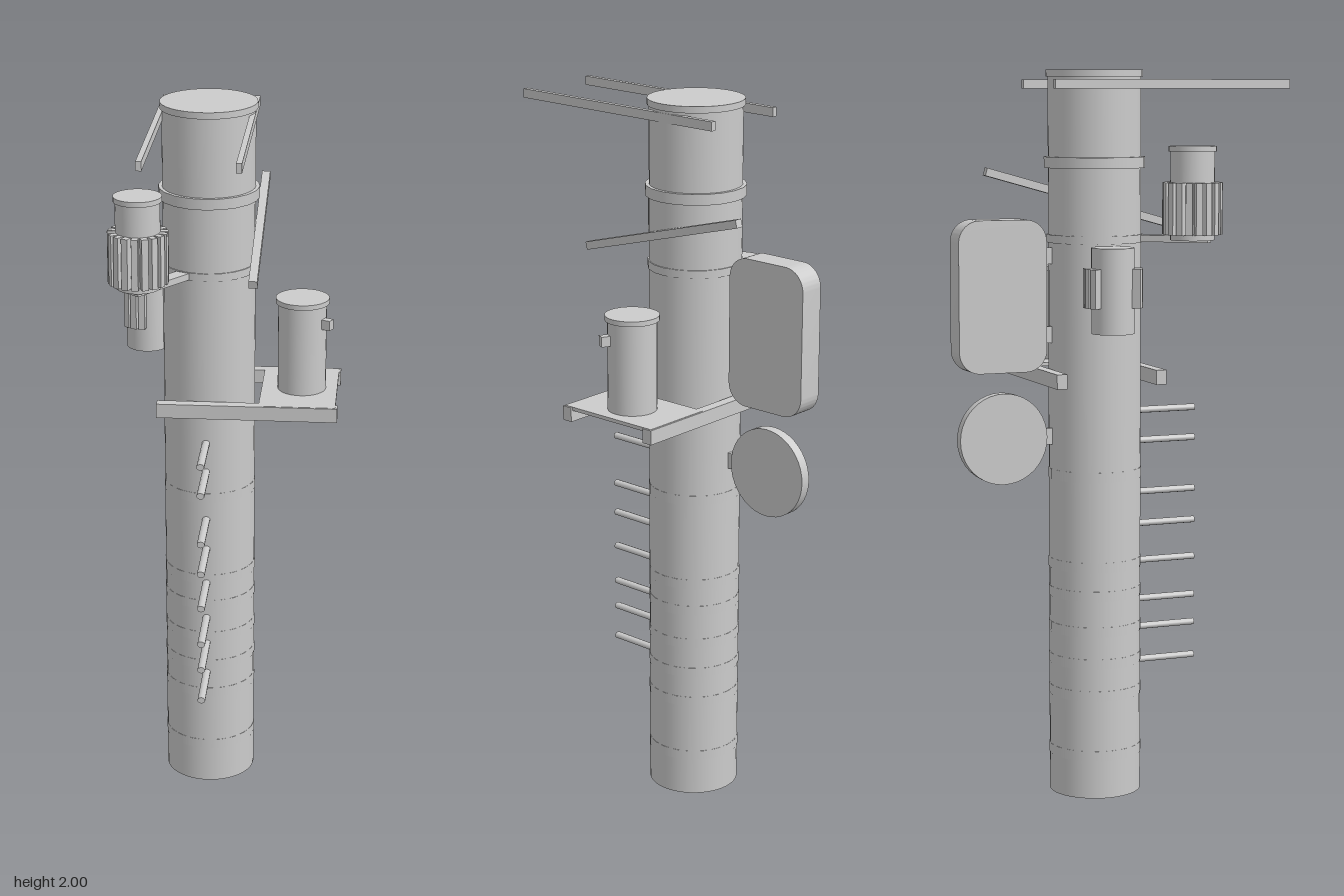
import * as THREE from 'three';
import { toCreasedNormals } from 'three/addons/utils/BufferGeometryUtils.js';

const material = new THREE.MeshStandardMaterial({ color: 0xcccccc });
const POLE_X = -0.057, POLE_Z = -0.06;

function add(parent, name, geometry, x, y, z) {
  const mesh = new THREE.Mesh(geometry, material);
  mesh.name = name;
  mesh.position.set(x, y, z);
  parent.add(mesh);
  return mesh;
}

const box = (parent, name, w, h, d, x, y, z) =>
  add(parent, name, new THREE.BoxGeometry(w, h, d), x, y, z);

// Upright cylinder between two heights
const drum = (parent, name, r, y0, y1, x, z, sides = 32) =>
  add(parent, name, new THREE.CylinderGeometry(r, r, y1 - y0, sides), x, (y0 + y1) / 2, z);

// Radial cooling fins at the given angles (0 = front, turning towards +x)
function fins(parent, angles, r0, r1, width, y0, y1, x, z) {
  for (const a of angles) {
    const r = (r0 + r1) / 2;
    const fin = box(parent, 'coolingFin', width, y1 - y0, r1 - r0,
      x + Math.sin(a) * r, (y0 + y1) / 2, z + Math.cos(a) * r);
    fin.rotation.y = a;
  }
}

function group(parent, name) {
  const g = new THREE.Group();
  g.name = name;
  parent.add(g);
  return g;
}

export function createModel() {
  const model = new THREE.Group();
  model.name = 'utilityPole';

  // Pole with cap, collars and thin bands
  const pole = group(model, 'pole');
  drum(pole, 'shaft', 0.127, 0, 1.99, POLE_X, POLE_Z, 40);
  drum(pole, 'topCap', 0.132, 1.982, 2, POLE_X, POLE_Z, 40);
  drum(pole, 'upperCollar', 0.138, 1.737, 1.767, POLE_X, POLE_Z, 20);
  drum(pole, 'lowerCollar', 0.131, 1.535, 1.557, POLE_X, POLE_Z, 20);
  for (const y of [0.12, 0.29, 0.38, 0.47, 0.57, 0.65, 0.9]) {
    drum(pole, 'band', 0.1285, y - 0.014, y + 0.014, POLE_X, POLE_Z, 20);
  }

  // Climbing pegs up the front
  for (const y of [0.355, 0.45, 0.53, 0.64, 0.745, 0.835, 0.98, 1.065]) {
    const peg = add(model, 'climbingPeg', new THREE.CylinderGeometry(0.011, 0.011, 0.2, 10), POLE_X, y, 0.139);
    peg.rotation.x = Math.PI / 2;
    peg.scale.z = 0.85;
  }

  // Crossarms: a level pair at the top and one tilted arm on the left
  for (const x of [-0.187, 0.063]) box(model, 'topCrossarm', 0.015, 0.025, 0.685, x, 1.962, 0.119);
  const tilted = box(model, 'tiltedCrossarm', 0.023, 0.022, 0.555, 0.081, 1.65, -0.06);
  tilted.rotation.x = 0.272;

  // Platform
  const platform = group(model, 'platform');
  for (const z of [-0.205, 0.084]) box(platform, 'platformRail', 0.495, 0.04, 0.03, 0.057, 1.17, z);
  box(platform, 'platformDeck', 0.21, 0.01, 0.31, 0.194, 1.186, -0.06);

  // Drum transformer standing on the platform
  const deckUnit = group(model, 'platformTransformer');
  drum(deckUnit, 'body', 0.067, 1.185, 1.445, 0.2, POLE_Z);
  drum(deckUnit, 'lid', 0.074, 1.441, 1.455, 0.2, POLE_Z);
  fins(deckUnit, [1.11], 0.06, 0.091, 0.022, 1.376, 1.404, 0.2, POLE_Z);

  // Finned transformer on a diagonal arm
  const finned = group(model, 'finnedTransformer');
  const fx = -0.227, fz = 0.157;
  drum(finned, 'body', 0.06, 1.545, 1.79, fx, fz);
  drum(finned, 'lid', 0.065, 1.783, 1.797, fx, fz);
  const around = Array.from({ length: 18 }, (_, i) => (i / 18) * Math.PI * 2);
  fins(finned, around, 0.052, 0.081, 0.018, 1.56, 1.7, fx, fz);
  const arm = box(finned, 'supportArm', 0.04, 0.018, 0.25, -0.16, 1.546, 0.105);
  arm.rotation.y = Math.atan2(POLE_X - fx, POLE_Z - fz);

  // Small side transformer with two fin clusters
  const side = group(model, 'sideTransformer');
  const sx = -0.23, sz = -0.075;
  drum(side, 'body', 0.058, 1.3, 1.53, sx, sz);
  fins(side, [-0.7, -0.4, -0.1], 0.05, 0.08, 0.018, 1.37, 1.475, sx, sz);
  fins(side, [2.7, 3.0, 3.3, 3.6], 0.05, 0.08, 0.018, 1.37, 1.475, sx, sz);

  // Rounded panel at the back, extruded across x
  const w = 0.125, h = 0.206, r = 0.06;
  const outline = new THREE.Shape();
  outline.absarc(w - r, h - r, r, 0, Math.PI / 2);
  outline.absarc(r - w, h - r, r, Math.PI / 2, Math.PI);
  outline.absarc(r - w, r - h, r, Math.PI, Math.PI * 1.5);
  outline.absarc(w - r, r - h, r, Math.PI * 1.5, Math.PI * 2);
  const panelGeo = new THREE.ExtrudeGeometry(outline, { depth: 0.075, bevelEnabled: false, curveSegments: 8 });
  panelGeo.translate(0, 0, -0.0375).rotateY(Math.PI / 2);
  add(model, 'backPanel', toCreasedNormals(panelGeo, 0.6), POLE_X, 1.395, -0.338);

  // Disc below the panel
  const disc = add(model, 'backDisc', new THREE.CylinderGeometry(0.125, 0.125, 0.03, 40), POLE_X, 1.005, -0.33);
  disc.rotation.z = Math.PI / 2;

  // Brackets joining the panel and disc to the pole
  for (const y of [1.005, 1.285, 1.5]) box(model, 'backBracket', 0.012, 0.045, 0.06, POLE_X, y, -0.2);

  return model;
}
